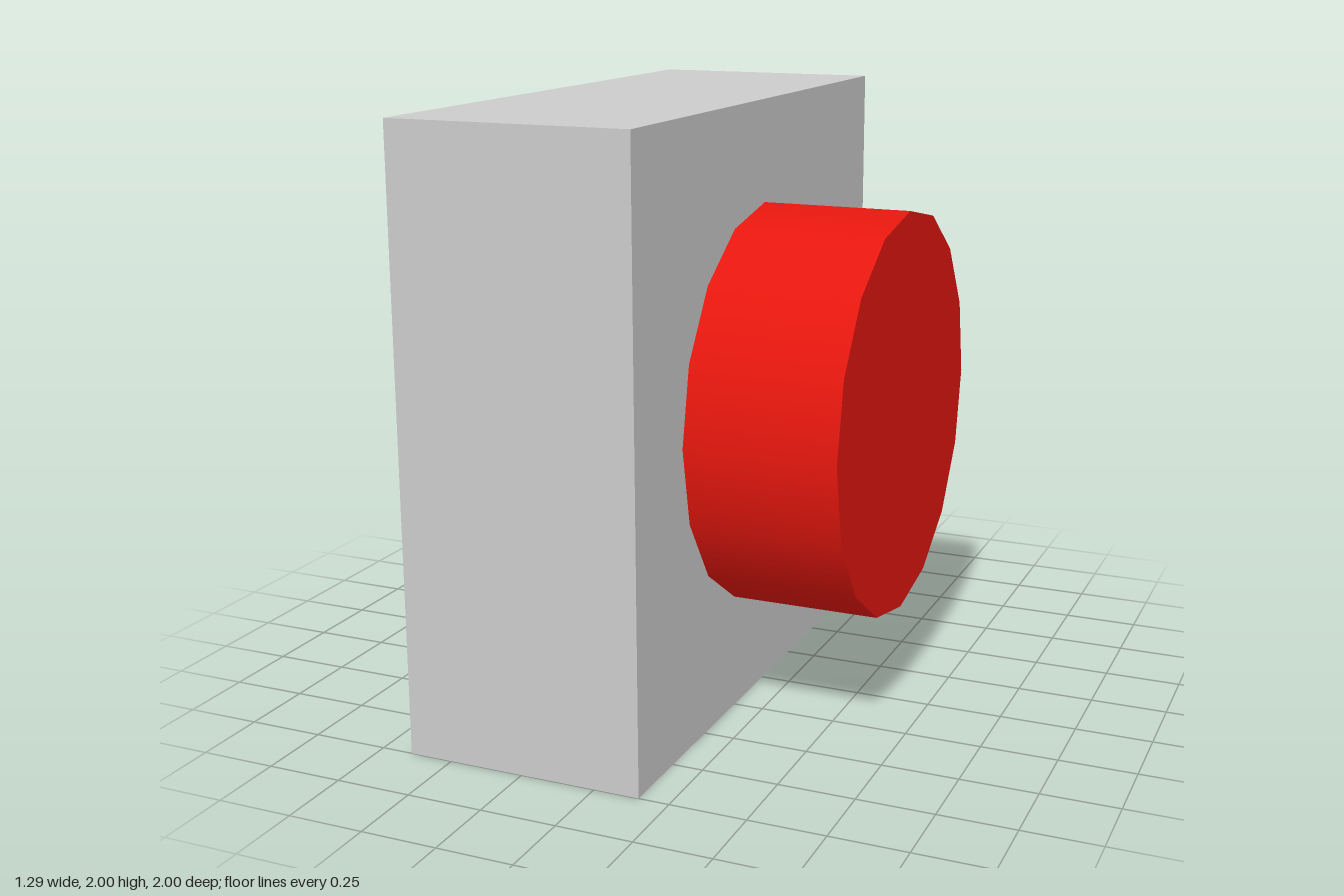
import * as THREE from 'three';

const HALF_WIDTH = 0.645; // overall half extent in x
const FACE_X = 0.15; // plane where the button meets the base

export function createModel() {
  const model = new THREE.Group();

  // Square backing block
  const baseDepth = FACE_X + HALF_WIDTH;
  const base = new THREE.Mesh(
    new THREE.BoxGeometry(baseDepth, 2, 2),
    new THREE.MeshStandardMaterial({ color: 0xcccccc })
  );
  base.name = 'base';
  base.position.set((FACE_X - HALF_WIDTH) / 2, 1, 0);
  model.add(base);

  // Round 16-sided push button with smooth sides, pointing along +x
  const buttonDepth = HALF_WIDTH - FACE_X;
  const button = new THREE.Mesh(
    new THREE.CylinderGeometry(0.665, 0.665, buttonDepth, 16).rotateZ(-Math.PI / 2),
    new THREE.MeshStandardMaterial({ color: 0xe6170e })
  );
  button.name = 'button';
  button.position.set((FACE_X + HALF_WIDTH) / 2, 1, 0);
  model.add(button);

  return model;
}
